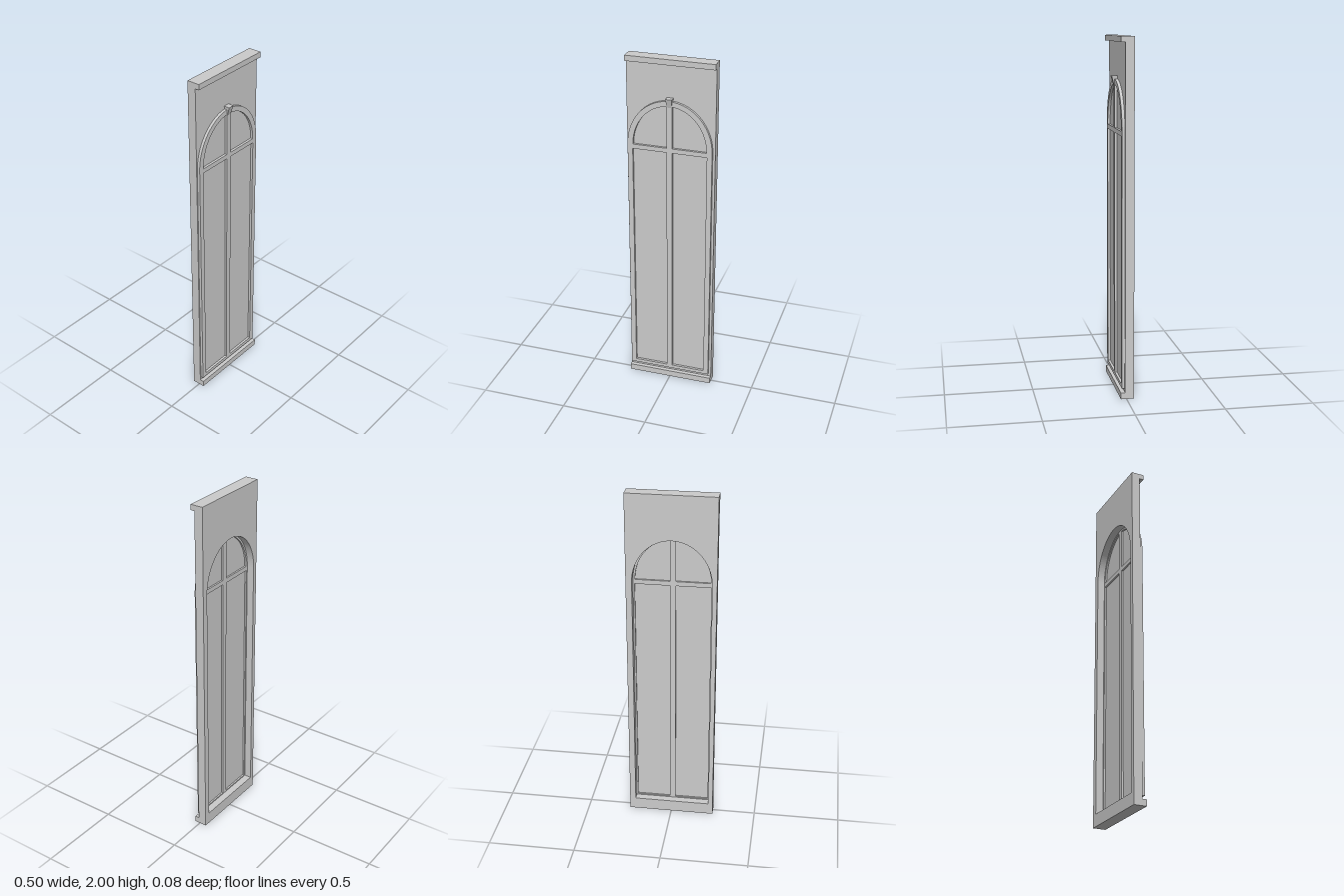
import * as THREE from 'three';

const CX = -0.004; // centre line of the window
const SPRING = 1.495; // height where the arch begins
const material = new THREE.MeshStandardMaterial({ color: 0xcccccc, side: THREE.DoubleSide, flatShading: true });

// Round-headed outline: straight sides, elliptical top
function archOutline(Type, halfWidth, bottom, top) {
  const path = new Type();
  path.moveTo(CX - halfWidth, bottom);
  path.lineTo(CX + halfWidth, bottom);
  path.lineTo(CX + halfWidth, SPRING);
  path.absellipse(CX, SPRING, halfWidth, top - SPRING, 0, Math.PI, false, 0);
  path.closePath();
  return path;
}

// Rectangular pane opening
function rectHole(x0, x1, y0, y1) {
  const p = new THREE.Path();
  p.moveTo(x0, y0);
  p.lineTo(x1, y0);
  p.lineTo(x1, y1);
  p.lineTo(x0, y1);
  p.closePath();
  return p;
}

// Half of the arched light, on the side given by sign
function quarterHole(sign, inner, rx, ry, y0) {
  const points = [new THREE.Vector2(CX + sign * inner, y0)];
  const end = Math.acos(inner / rx);
  for (let i = 0; i <= 20; i++) {
    const a = (end * i) / 20;
    points.push(new THREE.Vector2(CX + sign * rx * Math.cos(a), y0 + ry * Math.sin(a)));
  }
  return new THREE.Path(points);
}

function extrude(shape, z0, z1) {
  const g = new THREE.ExtrudeGeometry(shape, { depth: z1 - z0, bevelEnabled: false, curveSegments: 32 });
  return g.translate(0, 0, z0);
}

export function createModel() {
  const model = new THREE.Group();
  model.name = 'archedWindowPanel';
  const add = (name, geometry) => {
    const mesh = new THREE.Mesh(geometry, material);
    mesh.name = name;
    model.add(mesh);
    return mesh;
  };

  // Wall slab with the arched opening
  const wall = new THREE.Shape([
    new THREE.Vector2(-0.25, 0), new THREE.Vector2(0.25, 0),
    new THREE.Vector2(0.25, 2), new THREE.Vector2(-0.25, 2),
  ]);
  wall.holes.push(archOutline(THREE.Path, 0.22, 0.07, 1.746));
  add('wall', extrude(wall, -0.042, 0.008));

  // Ledges along the bottom and the top
  for (const [name, y0, y1] of [['bottomLedge', 0, 0.036], ['topLedge', 1.969, 2]]) {
    const ledge = add(name, new THREE.BoxGeometry(0.5, y1 - y0, 0.025));
    ledge.position.set(0, (y0 + y1) / 2, 0.0195);
  }

  // Window frame with mullion and crossbar
  const frame = archOutline(THREE.Shape, 0.24, 0.056, 1.765);
  for (const s of [-1, 1]) {
    const xs = [CX + s * 0.016, CX + s * 0.211].sort((a, b) => a - b);
    frame.holes.push(rectHole(xs[0], xs[1], 0.077, 1.469));
    frame.holes.push(quarterHole(s, 0.016, 0.209, 1.736 - SPRING, SPRING));
  }
  add('windowFrame', extrude(frame, 0, 0.024));

  // Glass behind the bars
  const glass = new THREE.ShapeGeometry(archOutline(THREE.Shape, 0.215, 0.07, 1.74), 32);
  add('glass', glass.translate(0, 0, 0.01));

  // Keystone, narrowing and sloping back towards its foot
  const keystone = new THREE.BoxGeometry(0.036, 0.05, 0.034);
  const p = keystone.attributes.position;
  for (let i = 0; i < p.count; i++) {
    if (p.getY(i) < 0) {
      p.setX(i, p.getX(i) * 0.65);
      if (p.getZ(i) > 0) p.setZ(i, 0.003);
    }
  }
  keystone.computeVertexNormals();
  add('keystone', keystone).position.set(CX, 1.757, 0.024);

  return model;
}
